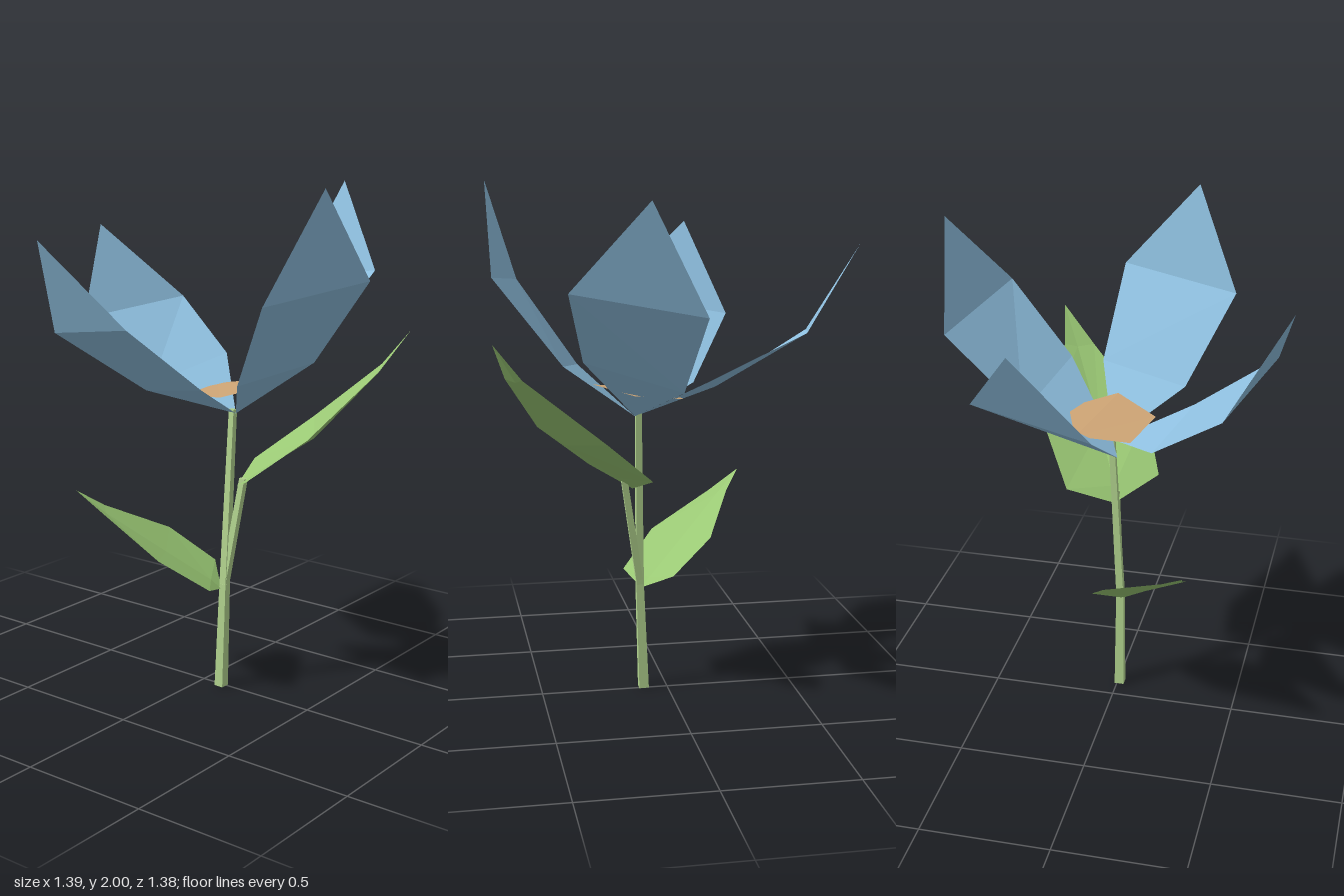
import * as THREE from 'three';

const flat = (name, color) => {
  const m = new THREE.MeshStandardMaterial({ color, flatShading: true, side: THREE.DoubleSide });
  m.name = name;
  return m;
};

// Folded sheet: rows of points run from base to tip, each row from left to right.
function sheet(name, rows, material) {
  const pos = [];
  const at = (row, j) => row[Math.min(j, row.length - 1)];
  const tri = (a, b, c) => {
    if (a !== b && b !== c && a !== c) pos.push(...a, ...b, ...c);
  };
  for (let i = 0; i + 1 < rows.length; i++) {
    const n = Math.max(rows[i].length, rows[i + 1].length);
    for (let j = 0; j + 1 < n; j++) {
      const a = at(rows[i], j), b = at(rows[i], j + 1);
      const c = at(rows[i + 1], j), d = at(rows[i + 1], j + 1);
      tri(a, c, b);
      tri(b, c, d);
    }
  }
  const g = new THREE.BufferGeometry();
  g.setAttribute('position', new THREE.Float32BufferAttribute(pos, 3));
  g.computeVertexNormals();
  const mesh = new THREE.Mesh(g, material);
  mesh.name = name;
  return mesh;
}

// Tapered four-sided rod between two points.
function rod(name, from, to, r0, r1, material) {
  const a = new THREE.Vector3(...from), b = new THREE.Vector3(...to);
  const dir = b.clone().sub(a);
  const g = new THREE.CylinderGeometry(r1, r0, dir.length(), 4);
  g.rotateY(Math.PI / 4);
  const mesh = new THREE.Mesh(g, material);
  mesh.quaternion.setFromUnitVectors(new THREE.Vector3(0, 1, 0), dir.normalize());
  mesh.position.copy(a).add(b).multiplyScalar(0.5);
  mesh.name = name;
  return mesh;
}

export function createModel() {
  const root = new THREE.Group();
  root.name = 'flower';
  const petalBlue = flat('petal blue', 0x8fc0e0);
  const leafGreen = flat('leaf green', 0x9ac874);
  const stemGreen = flat('stem green', 0xb4d690);
  const centreTan = flat('centre tan', 0xcda474);

  // Petals: a shared base point, two cross folds and a tip
  const base = [0.13, 1.11, -0.03];
  const petals = {
    frontPetal: [
      [[-0.14, 1.2, 0.18], [0.205, 1.26, 0.28]],
      [[-0.335, 1.44, 0.47], [0.13, 1.515, 0.605]],
      [[-0.2, 1.81, 0.69]]],
    rightPetal: [
      [[-0.11, 1.28, -0.29], [-0.205, 1.2, 0.065]],
      [[-0.437, 1.467, -0.42], [-0.565, 1.42, 0.055]],
      [[-0.697, 1.767, -0.2]]],
    backPetal: [
      [[0.355, 1.355, -0.25], [0, 1.25, -0.355]],
      [[0.437, 1.633, -0.515], [-0.03, 1.555, -0.648]],
      [[0.175, 1.955, -0.695]]],
    leftPetal: [
      [[0.32, 1.28, 0.22], [0.415, 1.325, -0.135]],
      [[0.54, 1.605, 0.378], [0.67, 1.655, -0.1]],
      [[0.67, 2, 0.2]]],
  };
  for (const [name, rows] of Object.entries(petals)) {
    root.add(sheet(name, [[base], ...rows], petalBlue));
  }

  // Leaves: side edges with a sunken midrib
  root.add(sheet('upperLeaf', [
    [[0.14, 0.825, -0.025]],
    [[0.29, 0.895, 0.125], [0.2, 0.872, -0.04], [0.09, 0.89, -0.21]],
    [[0.5, 1.07, 0.03], [0.41, 1.03, -0.15], [0.28, 1.065, -0.348]],
    [[0.638, 1.3, -0.228], [0.605, 1.295, -0.29], [0.585, 1.31, -0.34]],
    [[0.69, 1.445, -0.366]],
  ], leafGreen));
  root.add(sheet('lowerLeaf', [
    [[0.1, 0.41, 0.02]],
    [[-0.01, 0.48, -0.085], [0.065, 0.445, 0.04], [0.15, 0.45, 0.16]],
    [[-0.175, 0.605, 0], [-0.075, 0.56, 0.145], [0.01, 0.575, 0.295]],
    [[-0.295, 0.735, 0.255], [-0.26, 0.715, 0.285], [-0.24, 0.725, 0.325]],
    [[-0.36, 0.803, 0.345]],
  ], leafGreen));

  // Flower centre: a slightly tilted pentagon
  root.add(sheet('flowerCentre', [
    [[0.16, 1.22, -0.215]],
    [[0.292, 1.24, -0.045], [-0.04, 1.19, -0.14]],
    [[0.175, 1.205, 0.132], [-0.03, 1.18, 0.075]],
  ], centreTan));

  // Stem with one side branch
  const foot = [0.094, 0, 0.01], fork = [0.108, 0.43, 0.008];
  root.add(
    rod('lowerStem', foot, fork, 0.027, 0.021, stemGreen),
    rod('upperStem', fork, [0.116, 1.125, -0.03], 0.021, 0.016, stemGreen),
    rod('branch', [0.11, 0.45, 0.005], [0.172, 0.86, -0.025], 0.019, 0.017, stemGreen),
  );
  return root;
}
